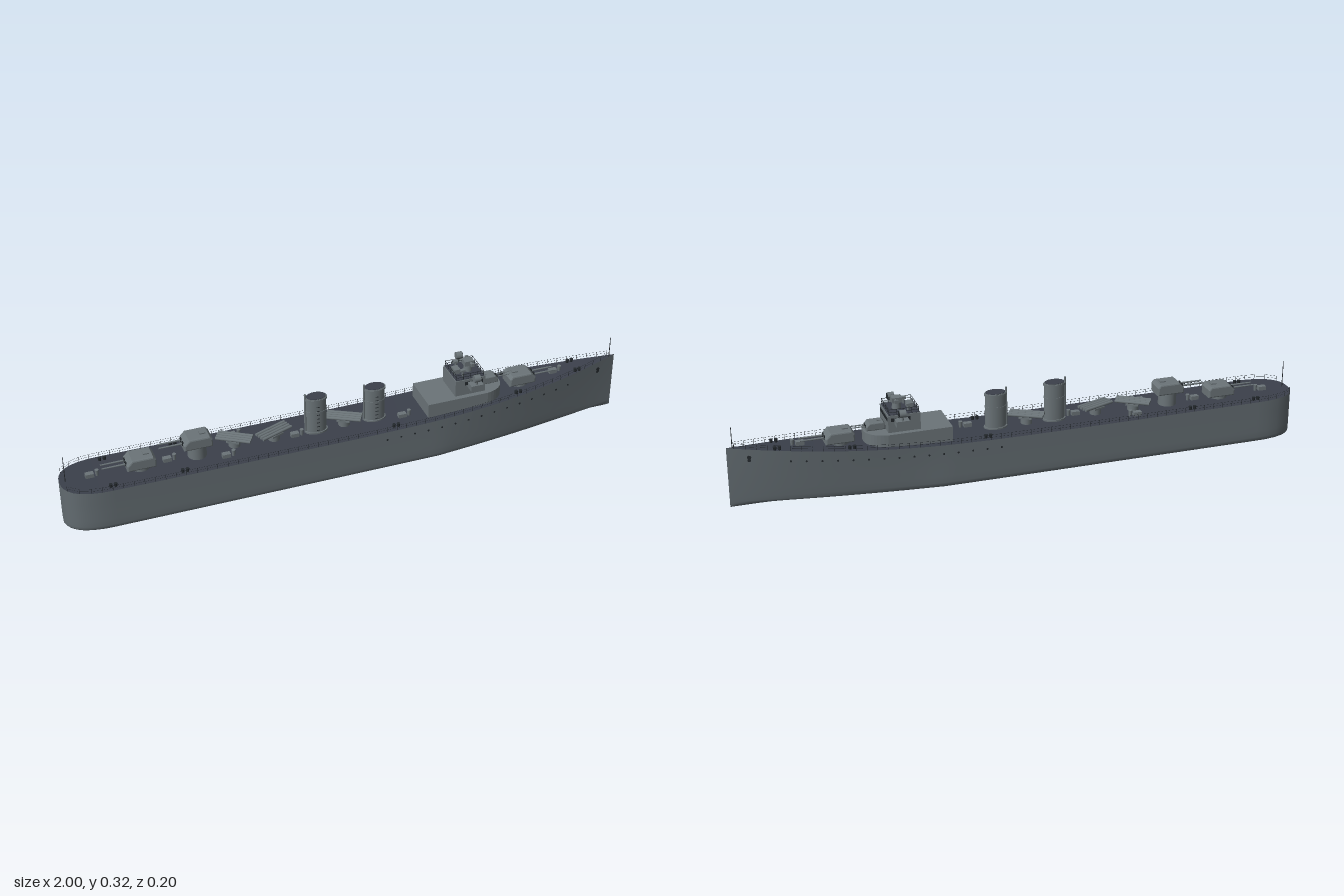
import * as THREE from 'three';
import { mergeGeometries } from 'three/addons/utils/BufferGeometryUtils.js';

const mat = (name, color, side = THREE.FrontSide) => {
  const m = new THREE.MeshStandardMaterial({ color, side });
  m.name = name;
  return m;
};

// Half beam and deck height along the ship
const halfBeam = (x) => {
  if (x < -0.84) return 0.1 * Math.pow(Math.max(0, 1 - Math.pow((-0.84 - x) / 0.16, 2.6)), 1 / 2.4);
  if (x < 0.25) return 0.1;
  return 0.1 * (1 - Math.pow((x - 0.25) / 0.75, 2.1));
};
const deckY = (x) => 0.157 + (x < 0 ? 0.004 * x * x : 0.055 * Math.pow(x, 1.9));

// Skin a list of equal-length cross-sections
function loft(sections) {
  const n = sections[0].length, pos = [], idx = [];
  sections.forEach((s) => s.forEach((p) => pos.push(...p)));
  for (let i = 0; i < sections.length - 1; i++) {
    for (let j = 0; j < n - 1; j++) {
      const a = i * n + j, b = a + n, c = a + 1, d = b + 1;
      idx.push(a, c, b, b, c, d);
    }
  }
  const g = new THREE.BufferGeometry();
  g.setAttribute('position', new THREE.Float32BufferAttribute(pos, 3));
  g.setIndex(idx);
  g.computeVertexNormals();
  return g;
}

export function createModel() {
  const ship = new THREE.Group();
  ship.name = 'warship';
  const hullGrey = mat('hull grey', 0x626b70);
  const upperGrey = mat('superstructure grey', 0x6b7478);
  const deckDark = mat('deck slate', 0x3b404b);
  const dark = mat('dark fittings', 0x24292d);

  const add = (parent, name, geo, m, x = 0, y = 0, z = 0) => {
    const mesh = new THREE.Mesh(geo, m);
    mesh.name = name;
    mesh.position.set(x, y, z);
    parent.add(mesh);
    return mesh;
  };
  const box = (p, name, m, w, h, d, x, y, z) => add(p, name, new THREE.BoxGeometry(w, h, d), m, x, y, z);
  const cyl = (p, name, m, r, h, x, y, z, r2 = r, seg = 16) =>
    add(p, name, new THREE.CylinderGeometry(r2, r, h, seg), m, x, y, z);
  const group = (name, x, y, z, parent = ship) => {
    const g = new THREE.Group();
    g.name = name;
    g.position.set(x, y, z);
    parent.add(g);
    return g;
  };

  // Hull and deck
  const stations = [-1, -0.998, -0.993, -0.985, -0.97, -0.95, -0.92, -0.88, -0.84];
  for (let x = -0.7; x < 0.2; x += 0.14) stations.push(x);
  for (let x = 0.22; x < 0.999; x += 0.04) stations.push(x);
  stations.push(1);
  const flare = (x) => (x > 0.3 ? 0.38 * Math.pow((x - 0.3) / 0.7, 0.8) : 0);
  const profile = [[1, 1], [1, 0.72], [1.005, 0.5], [1.01, 0.3], [1.01, 0.16], [0.99, 0.09], [0.93, 0.055], [0.5, 0.025]];
  const hull = stations.map((x) => {
    const w = halfBeam(x), h = deckY(x), f = flare(x);
    const side = profile.map(([k, v]) => [x, h * v, w * k * (1 - f * (1 - v))]);
    return [...side, [x, 0, 0], ...side.map(([a, b, c]) => [a, b, -c]).reverse()];
  });
  add(ship, 'hull', loft(hull), hullGrey);
  add(ship, 'deck', loft(stations.map((x) => [[x, deckY(x), -halfBeam(x)], [x, deckY(x), halfBeam(x)]])), deckDark);

  // Guard rails with stanchions
  for (const s of [1, -1]) {
    const posts = [], rim = [];
    for (let x = -0.985; x < 0.98; x += 0.035) {
      const z = s * halfBeam(x) * 0.98;
      rim.push(new THREE.Vector3(x, deckY(x), z));
      posts.push(new THREE.BoxGeometry(0.0012, 0.018, 0.0012).translate(x, deckY(x) + 0.009, z));
    }
    add(ship, 'railPosts', mergeGeometries(posts), dark);
    for (const h of [0.009, 0.018]) {
      add(ship, 'railWire', new THREE.TubeGeometry(new THREE.CatmullRomCurve3(rim), 90, 0.0004, 4), dark, 0, h);
    }
  }

  // Portholes, hawse pipes and anchors
  for (const s of [1, -1]) {
    const onHull = (name, x, v, r) => {
      const at = (q) => s * halfBeam(q) * (1 - flare(q) * (1 - v));
      const m = cyl(ship, name, dark, r, 0.003, x, deckY(x) * v, at(x), r, 10);
      const slope = (at(x + 0.01) - at(x - 0.01)) / 0.02;
      m.quaternion.setFromUnitVectors(new THREE.Vector3(0, 1, 0), new THREE.Vector3(-slope, 0, 1).multiplyScalar(s).normalize());
      return m;
    };
    for (let x = 0.1; x < 0.82; x += 0.05) onHull('porthole', x, 0.81, 0.0035);
    onHull('hawsePipe', 0.93, 0.86, 0.007);
    onHull('anchor', 0.93, 0.81, 0.006);
    // Bollards
    for (const x of [-0.84, -0.6, 0.14, 0.6, 0.84]) {
      for (const d of [-0.008, 0.008]) cyl(ship, 'bollard', dark, 0.005, 0.012, x + d, deckY(x) + 0.006, s * halfBeam(x) * 0.78, 0.006, 10);
    }
  }

  // Flagstaffs
  cyl(ship, 'jackstaff', dark, 0.0016, 0.075, 0.98, 0.247, 0, 0.001, 6);
  cyl(ship, 'ensignStaff', dark, 0.0016, 0.1, -0.98, 0.208, 0, 0.001, 6);

  // Gun turrets: bevelled house, hood, twin barrels
  function turret(name, x, y, dir, base, scale = 1) {
    const t = group(name, x, y, 0);
    t.rotation.y = dir < 0 ? Math.PI : 0;
    t.scale.setScalar(scale);
    cyl(t, 'barbette', upperGrey, 0.032, base, 0, -base / 2, 0, 0.032, 24);
    const s = new THREE.Shape();
    s.moveTo(-0.043, 0.004);
    s.lineTo(0.045, 0.004);
    s.lineTo(0.045, 0.018);
    s.lineTo(0.03, 0.034);
    s.lineTo(-0.036, 0.034);
    s.lineTo(-0.043, 0.026);
    const g = new THREE.ExtrudeGeometry(s, { depth: 0.056, bevelSize: 0.005, bevelThickness: 0.006, bevelSegments: 2 });
    add(t, 'gunHouse', g.translate(0, 0, -0.028), upperGrey);
    box(t, 'roofHatch', upperGrey, 0.02, 0.006, 0.018, -0.02, 0.04, 0);
    for (const z of [-0.011, 0.011]) {
      const b = cyl(t, 'gunBarrel', upperGrey, 0.0035, 0.085, 0.088, 0.019, z, 0.0025, 10);
      b.rotation.z = -Math.PI / 2;
      box(t, 'gunPort', dark, 0.004, 0.014, 0.01, 0.05, 0.02, z);
    }
  }
  turret('sternTurret', -0.73, 0.169, -1, 0.012);
  turret('raisedSternTurret', -0.537, 0.203, -1, 0.046);
  turret('bowTurret', 0.63, 0.188, 1, 0.014);
  turret('bridgeGun', 0.508, 0.214, 1, 0.01, 0.66);

  // Funnels with dark mouth, cap bands and steam pipe
  const funnel = (x, top) => {
    const f = group('funnel', x, 0.155, 0), h = top - 0.155;
    const oval = (name, m, r, hh, y) => { cyl(f, name, m, r, hh, 0, y, 0, r, 32).scale.z = 0.66; };
    oval('casing', upperGrey, 0.036, h, h / 2);
    oval('capBand', upperGrey, 0.039, 0.007, h - 0.006);
    oval('lowerBand', upperGrey, 0.038, 0.004, h * 0.62);
    oval('baseFlange', upperGrey, 0.041, 0.008, 0.004);
    oval('mouth', deckDark, 0.034, 0.003, h);
    cyl(f, 'steamPipe', upperGrey, 0.004, h + 0.014, -0.038, (h + 0.014) / 2, 0, 0.004, 8);
    for (let i = 1; i < 8; i++) box(f, 'ladderRung', dark, 0.01, 0.0015, 0.003, 0, i * h / 9, 0.0245);
  };
  funnel(-0.12, 0.294);
  funnel(0.09, 0.285);

  // Torpedo tube banks
  for (const [x, z, a] of [[-0.405, -0.01, -0.55], [-0.27, 0, 0.36], [-0.02, 0, -0.5]]) {
    const t = group('torpedoBank', x, 0.157, z);
    t.rotation.y = a;
    cyl(t, 'turntable', upperGrey, 0.02, 0.024, 0, 0.012, 0);
    box(t, 'cradle', upperGrey, 0.045, 0.006, 0.048, 0, 0.025, 0);
    for (let i = 0; i < 4; i++) {
      const tube = cyl(t, 'tube', upperGrey, 0.0055, 0.12, 0, 0.033, (i - 1.5) * 0.0125, 0.0055, 12);
      tube.rotation.z = Math.PI / 2;
    }
  }

  // Deck lockers, ventilators and small guns
  for (const [x, z] of [[-0.4, -0.062], [-0.45, 0.045], [-0.2, 0.01], [0.18, 0.03], [-0.64, 0], [-0.9, 0], [0.76, 0]]) {
    box(ship, 'deckLocker', upperGrey, 0.028, 0.014, 0.018, x, deckY(x) + 0.007, z);
    cyl(ship, 'ventilator', upperGrey, 0.005, 0.022, x + 0.025, deckY(x) + 0.011, z, 0.007, 10);
  }

  // Forward deckhouse with rounded front
  const plan = new THREE.Shape();
  plan.moveTo(0.26, -0.072);
  plan.lineTo(0.48, -0.072);
  plan.quadraticCurveTo(0.55, -0.06, 0.55, 0);
  plan.quadraticCurveTo(0.55, 0.06, 0.48, 0.072);
  plan.lineTo(0.26, 0.072);
  const house = new THREE.ExtrudeGeometry(plan, { depth: 0.05, bevelEnabled: false, curveSegments: 10 }).rotateX(-Math.PI / 2);
  const lower = add(ship, 'deckhouse', house, upperGrey, 0, 0.158);
  lower.scale.y = 1.1;

  // Bridge block, wings, windows and dark roof
  const bridge = group('bridge', 0.42, 0.213, 0);
  box(bridge, 'wheelhouse', upperGrey, 0.11, 0.06, 0.11, 0, 0.03, 0);
  box(bridge, 'bridgeRoof', deckDark, 0.104, 0.004, 0.104, 0, 0.0605, 0);
  for (let i = -2; i <= 2; i++) box(bridge, 'frontWindow', dark, 0.003, 0.012, 0.016, 0.055, 0.045, i * 0.02);
  for (const s of [1, -1]) {
    for (let i = -1; i <= 1; i++) box(bridge, 'sideWindow', dark, 0.018, 0.012, 0.003, 0.012 + i * 0.024, 0.045, s * 0.055);
    box(bridge, 'bridgeWing', upperGrey, 0.045, 0.02, 0.034, 0.012, 0.04, s * 0.071);
    cyl(bridge, 'lampPost', upperGrey, 0.004, 0.014, 0.012, 0.055, s * 0.078);
    const lamp = cyl(bridge, 'searchlight', upperGrey, 0.013, 0.022, 0.012, 0.073, s * 0.078, 0.013, 20);
    lamp.rotation.z = Math.PI / 2;
    const lens = cyl(bridge, 'lampLens', dark, 0.011, 0.003, 0.023, 0.073, s * 0.078, 0.011, 20);
    lens.rotation.z = Math.PI / 2;
    // Roof rails
    for (const h of [0.07, 0.08]) {
      box(bridge, 'roofRail', dark, 0.1, 0.0012, 0.0012, 0, h, s * 0.05);
      box(bridge, 'roofRail', dark, 0.0012, 0.0012, 0.1, s * 0.05, h, 0);
    }
    for (let i = -2; i <= 2; i++) {
      box(bridge, 'railPost', dark, 0.0014, 0.02, 0.0014, i * 0.025, 0.071, s * 0.05);
      box(bridge, 'railPost', dark, 0.0014, 0.02, 0.0014, s * 0.05, 0.071, i * 0.025);
    }
  }

  // Gun director and rangefinder on the bridge roof
  cyl(bridge, 'directorPedestal', upperGrey, 0.016, 0.024, 0.012, 0.073, 0, 0.014, 20);
  box(bridge, 'directorHouse', upperGrey, 0.034, 0.018, 0.028, 0.012, 0.094, 0);
  cyl(bridge, 'rangefinder', upperGrey, 0.005, 0.06, 0.018, 0.095, 0).rotation.x = Math.PI / 2;
  for (const s of [1, -1]) box(bridge, 'rangefinderEnd', upperGrey, 0.012, 0.012, 0.006, 0.018, 0.095, s * 0.027);
  box(bridge, 'chartTable', upperGrey, 0.022, 0.018, 0.03, -0.032, 0.07, 0);
  for (const z of [-0.03, 0.03]) {
    cyl(bridge, 'sightPost', upperGrey, 0.004, 0.02, -0.02, 0.071, z);
    box(bridge, 'sight', upperGrey, 0.014, 0.008, 0.012, -0.02, 0.083, z);
  }
  return ship;
}
